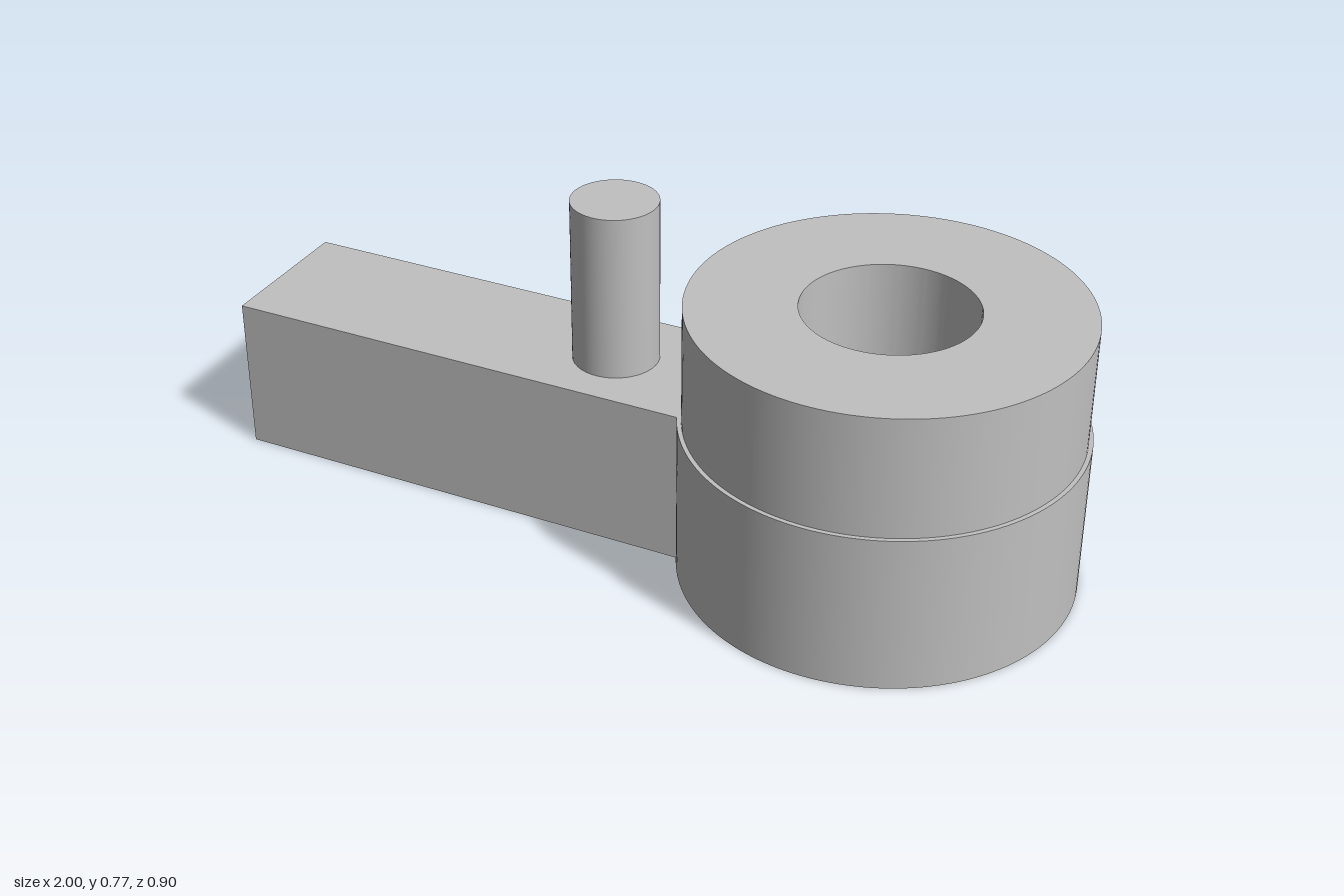
import * as THREE from 'three';
import { toCreasedNormals } from 'three/addons/utils/BufferGeometryUtils.js';

const RING_X = 0.55, RING_R = 0.45, COLLAR_R = 0.44, BORE_R = 0.195;
const ARM_HALF = 0.18, BASE_H = 0.374, COLLAR_TOP = 0.657, PIN_TOP = 0.77;

// Extrude a plan outline upwards from y0 to y1
function extrudeUp(shape, y0, y1) {
  const geo = new THREE.ExtrudeGeometry(shape, { depth: y1 - y0, bevelEnabled: false, curveSegments: 72 });
  geo.rotateX(-Math.PI / 2).translate(0, y0, 0);
  return toCreasedNormals(geo, Math.PI / 6);
}

// Cut the through bore in an outline
function addBore(shape) {
  shape.holes.push(new THREE.Path().absarc(RING_X, 0, BORE_R, 0, Math.PI * 2, true));
  return shape;
}

export function createModel() {
  const group = new THREE.Group();
  const grey = new THREE.MeshStandardMaterial({ color: 0xc0c0c0 });
  grey.name = 'plain grey';

  const add = (name, geometry) => {
    const mesh = new THREE.Mesh(geometry, grey);
    mesh.name = name;
    group.add(mesh);
  };

  // Lever base: straight arm running into a round boss
  const a = Math.PI - Math.asin(ARM_HALF / RING_R);
  const base = new THREE.Shape();
  base.moveTo(-1, ARM_HALF);
  base.lineTo(-1, -ARM_HALF);
  base.absarc(RING_X, 0, RING_R, -a, a, false);
  base.closePath();
  add('leverBase', extrudeUp(addBore(base), 0, BASE_H));

  // Slightly narrower collar on top of the boss
  const collar = new THREE.Shape().absarc(RING_X, 0, COLLAR_R, 0, Math.PI * 2, false);
  add('collar', extrudeUp(addBore(collar), BASE_H, COLLAR_TOP));

  // Upright pin on the arm
  const pin = new THREE.CylinderGeometry(0.1, 0.1, PIN_TOP - BASE_H, 64);
  pin.translate(-0.1, (PIN_TOP + BASE_H) / 2, 0);
  add('pin', pin);

  return group;
}
